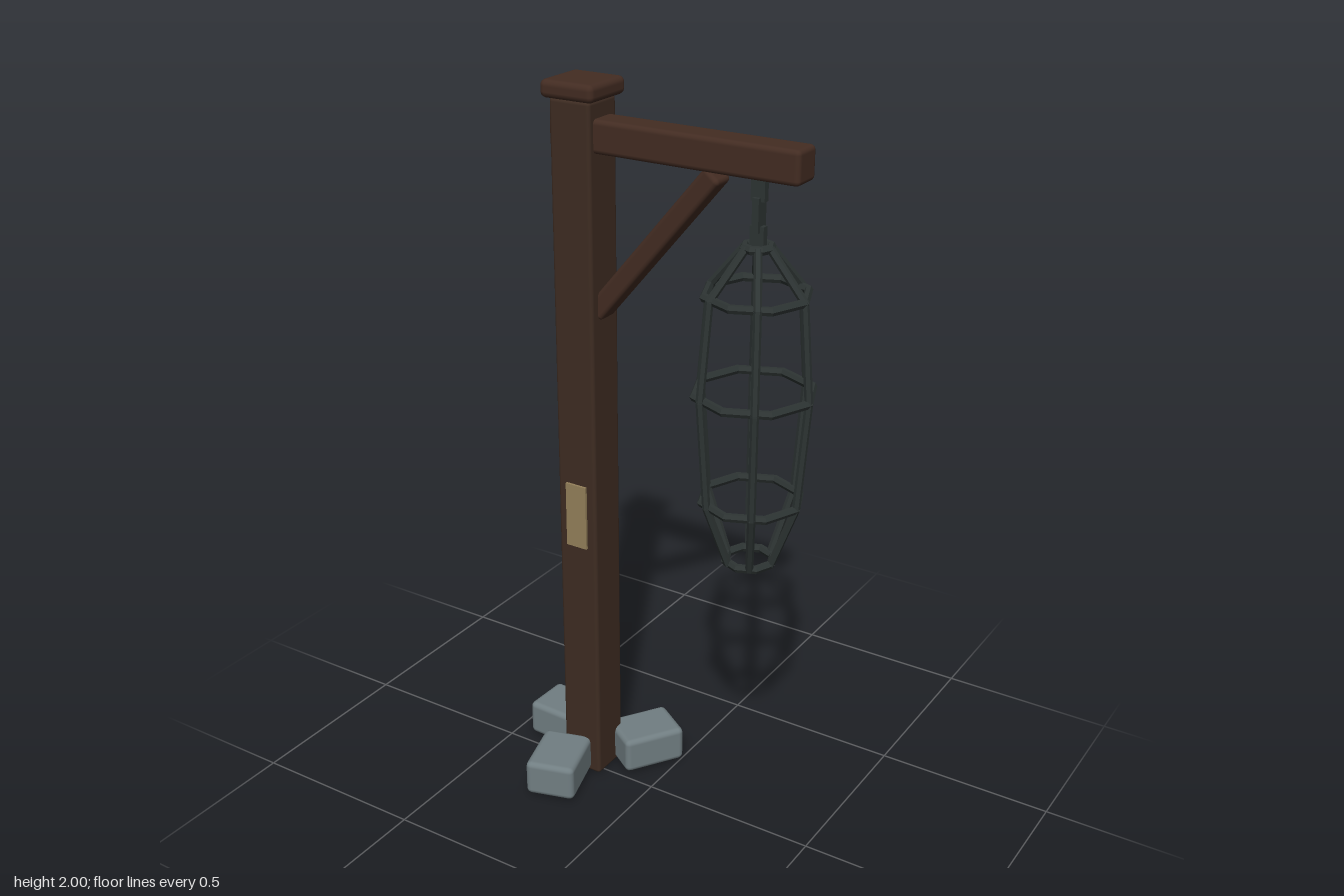
import * as THREE from 'three';
import { RoundedBoxGeometry } from 'three/addons/geometries/RoundedBoxGeometry.js';

const material = (name, color, flatShading = false) => {
  const m = new THREE.MeshStandardMaterial({ color, flatShading });
  m.name = name;
  return m;
};

export function createModel() {
  const postWood = material('post wood', 0x3e2c22);
  const beamWood = material('beam wood', 0x432c22);
  const iron = material('dark iron', 0x2d3433, true);
  const stone = material('grey stone', 0x717e82);
  const parchment = material('parchment', 0x94805a);

  const model = new THREE.Group();
  model.name = 'hangingCagePost';
  const Z = -0.031; // shared centre plane of post, beam and cage

  const add = (parent, name, geometry, mat, x, y, z) => {
    const mesh = new THREE.Mesh(geometry, mat);
    mesh.name = name;
    mesh.position.set(x, y, z);
    parent.add(mesh);
    return mesh;
  };
  const block = (w, h, d, r) => new RoundedBoxGeometry(w, h, d, 2, r);

  // Timber frame
  add(model, 'post', block(0.12, 1.955, 0.12, 0.01), postWood, -0.22, 0.9775, Z);
  add(model, 'postCap', block(0.156, 0.046, 0.156, 0.016), beamWood, -0.219, 1.977, Z);
  add(model, 'beam', block(0.7, 0.086, 0.086, 0.013), beamWood, 0.055, 1.868, Z);
  const brace = add(model, 'brace', block(0.54, 0.054, 0.066, 0.012), beamWood, -0.005, 1.612, Z);
  brace.rotation.z = 0.873;

  // Notice on the front of the post
  add(model, 'notice', new THREE.BoxGeometry(0.064, 0.186, 0.008), parchment, -0.219, 0.828, Z + 0.063);

  // Foundation stones: x, z, width, depth, turn
  [
    [-0.357, -0.098, 0.183, 0.142, -0.04],
    [-0.097, -0.122, 0.142, 0.183, -0.58],
    [-0.237, 0.12, 0.142, 0.183, 0.29],
  ].forEach(([x, z, w, d, turn], i) => {
    const s = add(model, 'foundationStone' + (i + 1), block(w, 0.105, d, 0.016), stone, x, 0.06, z);
    s.rotation.y = turn;
  });

  // Chain of links turned alternately
  const cage = new THREE.Group();
  cage.name = 'cage';
  cage.position.set(0.281, 0, Z);
  model.add(cage);
  [[1.8, 0.065], [1.735, 0.085], [1.68, 0.055]].forEach(([y, h], i) => {
    const link = add(cage, 'chainLink' + (i + 1), new THREE.BoxGeometry(0.038, h, 0.018), iron, 0, y, 0);
    link.rotation.y = (i % 2) * Math.PI / 2;
  });

  // Hoops: height, radius
  const hoops = [[1.655, 0.034], [1.538, 0.131], [1.283, 0.153], [0.99, 0.13], [0.815, 0.064]];
  hoops.forEach(([y, r], i) => {
    const hoop = add(cage, 'hoop' + (i + 1), new THREE.TorusGeometry(r, 0.0115, 6, 8), iron, 0, y, 0);
    hoop.rotation.x = Math.PI / 2;
  });

  // Six ribs of straight bars running from hoop to hoop
  const up = new THREE.Vector3(0, 1, 0);
  for (let k = 0; k < 6; k++) {
    const rib = new THREE.Group();
    rib.name = 'rib' + (k + 1);
    rib.rotation.y = k * Math.PI / 3;
    cage.add(rib);
    for (let i = 0; i < hoops.length - 1; i++) {
      const a = new THREE.Vector3(hoops[i][1], hoops[i][0], 0);
      const b = new THREE.Vector3(hoops[i + 1][1], hoops[i + 1][0], 0);
      const dir = a.clone().sub(b);
      const mid = a.clone().add(b).multiplyScalar(0.5);
      const bar = add(rib, 'ribBar' + (i + 1),
        new THREE.CylinderGeometry(0.0105, 0.0105, dir.length() + 0.006, 6), iron, mid.x, mid.y, 0);
      bar.quaternion.setFromUnitVectors(up, dir.normalize());
    }
  }

  return model;
}
